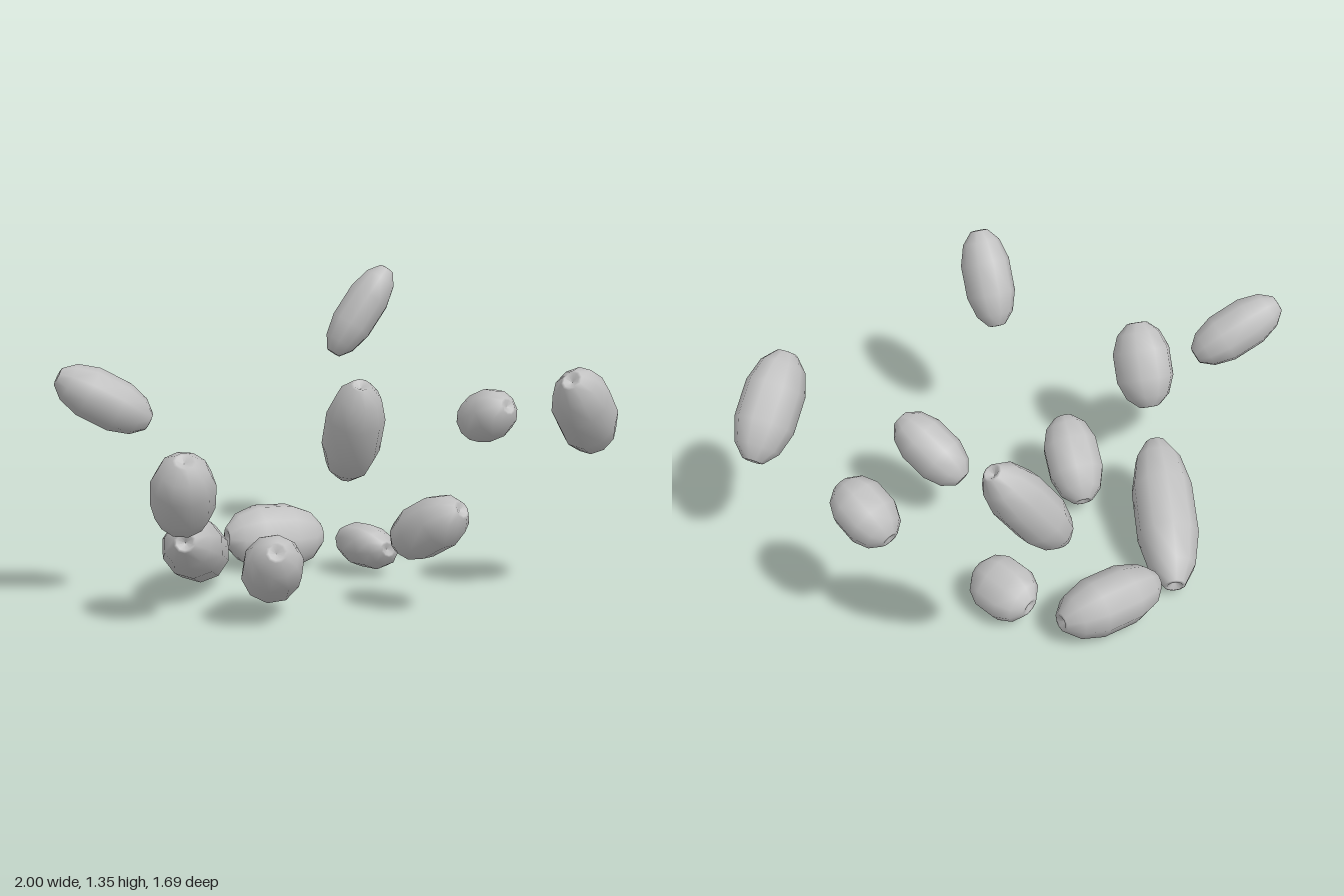
import * as THREE from 'three';

export function createModel() {
  const model = new THREE.Group();
  model.name = 'scatteredBeads';
  const grey = new THREE.MeshStandardMaterial({ color: 0xc0c0c0 });
  grey.name = 'plainGrey';

  // Unit barrel with a small dimple at each end
  const half = [[0, 0.9], [0.25, 0.98], [0.34, 0.97], [0.73, 0.74], [0.97, 0.33]];
  const profile = [
    ...half.map(([r, y]) => new THREE.Vector2(r, -y)),
    ...[...half].reverse().map(([r, y]) => new THREE.Vector2(r, y)),
  ];
  const barrel = new THREE.LatheGeometry(profile, 10);

  // centre, half axis, radius, then (for oval beads) wide direction and thin radius
  const beads = [
    [[-0.83, 0.895, -0.495], [-0.155, 0.1, -0.1], 0.106],
    [[-0.36, 0.19, -0.51], [-0.25, 0.118, 0.243], 0.132],
    [[0.19, 0.142, -0.63], [0.22, -0.01, 0.08], 0.155, [0.24, 0.7, -0.66], 0.125],
    [[0.825, 1.13, -0.725], [0.123, 0.203, 0.062], 0.102],
    [[-0.76, 0.555, -0.075], [-0.065, 0.158, 0.094], 0.128],
    [[-0.375, 0.205, 0.01], [-0.1, 0.112, 0.142], 0.124],
    [[0.4, 0.13, -0.24], [-0.01, 0.01, 0.152], 0.126, [0.8, -0.6, 0], 0.092],
    [[0.875, 0.705, 0.05], [-0.01, 0.06, 0.138], 0.114],
    [[0.125, 0.367, 0.41], [0.018, 0.1, 0.167], 0.113],
    [[-0.495, 0.862, 0.61], [-0.055, 0.19, 0.1], 0.108],
    [[0.745, 0.815, 0.708], [-0.172, 0.155, 0.058], 0.137, [0.67, 0.74, 0], 0.117],
  ];

  beads.forEach(([centre, axis, radius, wide = [0.31, 0.2, 0.93], thin = radius], i) => {
    const up = new THREE.Vector3(...axis);
    const length = up.length();
    up.normalize();
    const side = new THREE.Vector3(...wide);
    side.addScaledVector(up, -side.dot(up)).normalize();
    const front = new THREE.Vector3().crossVectors(side, up);

    const bead = new THREE.Mesh(barrel, grey);
    bead.name = `bead${i + 1}`;
    bead.position.set(...centre);
    bead.quaternion.setFromRotationMatrix(new THREE.Matrix4().makeBasis(side, up, front));
    bead.scale.set(radius * 1.04, length, thin * 1.04);
    model.add(bead);
  });

  return model;
}
